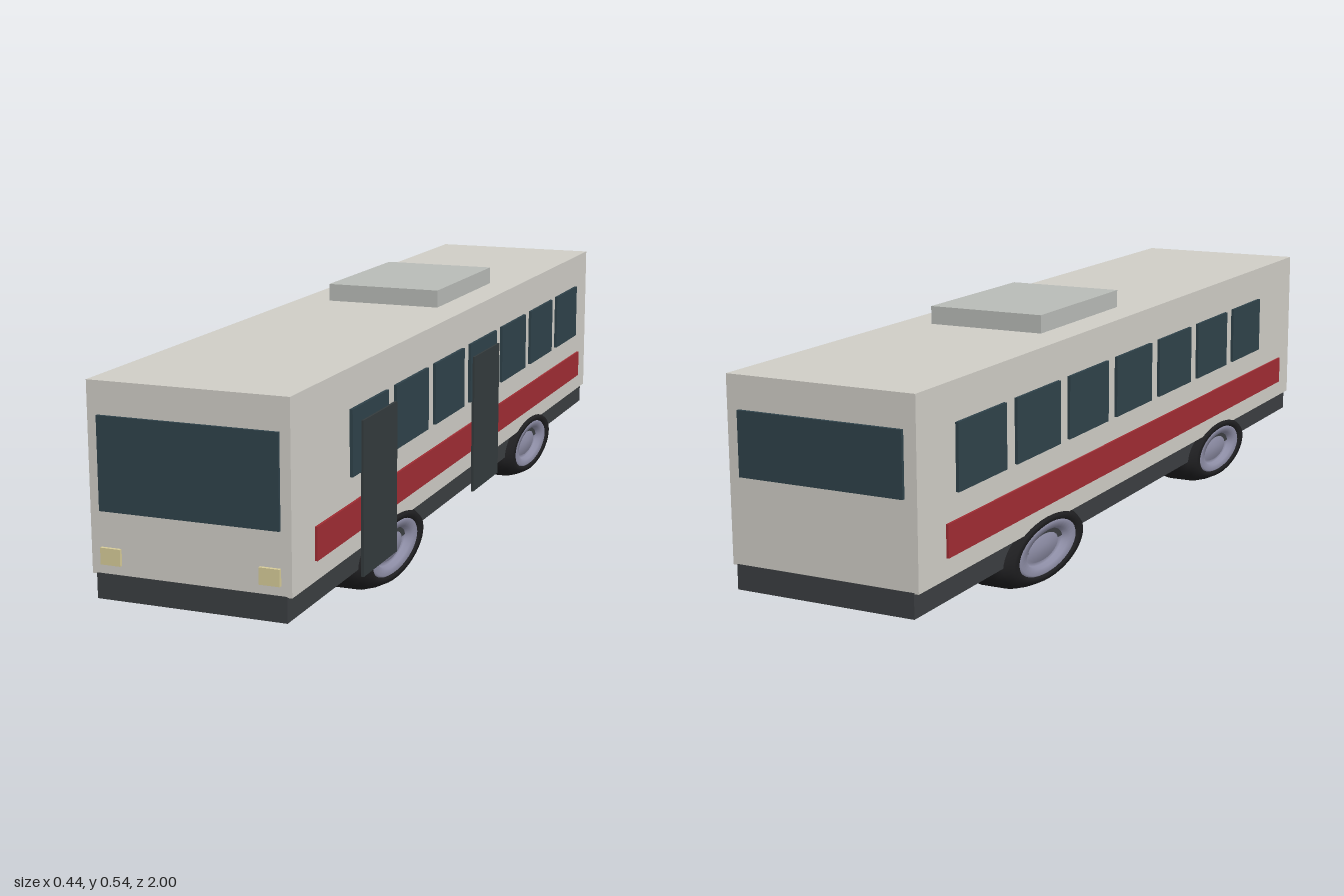
import * as THREE from 'three';

const CX = -0.0035; // centre line of the body, as the doors stand out on one side

const mat = (color, extra = {}) => new THREE.MeshStandardMaterial({ color, ...extra });
const paint = mat(0xcfcdc6), glass = mat(0x2f424a), dark = mat(0x3b3e41), red = mat(0xa02c33);
const doorGrey = mat(0x343b3d), vent = mat(0xb8bbb7), lamp = mat(0xd6cb98);
const rubber = mat(0x1e1e20, { side: THREE.DoubleSide });
const steel = mat(0x8c8ca4, { side: THREE.DoubleSide });

// Box given by its limits on each axis
function box(name, material, [x0, x1], [y0, y1], [z0, z1]) {
  const mesh = new THREE.Mesh(new THREE.BoxGeometry(x1 - x0, y1 - y0, z1 - z0), material);
  mesh.position.set((x0 + x1) / 2, (y0 + y1) / 2, (z0 + z1) / 2);
  mesh.name = name;
  return mesh;
}

// Unit-radius lathe around x; points are [radius, distance outwards]
function ring(name, material, points) {
  const geo = new THREE.LatheGeometry(points.map(([r, h]) => new THREE.Vector2(r, h)), 40);
  geo.rotateZ(-Math.PI / 2);
  const mesh = new THREE.Mesh(geo, material);
  mesh.name = name;
  return mesh;
}

// Wheel, oval in side view, with its outer face towards the given side
function wheel(name, side, z) {
  const group = new THREE.Group();
  group.name = name;
  group.add(
    ring('tyre', rubber, [
      [0, -0.056], [0.68, -0.056], [0.72, -0.0615], [0.84, -0.0615], [0.94, -0.045], [1, -0.027],
      [1, 0.027], [0.94, 0.045], [0.84, 0.0615], [0.72, 0.0615], [0.68, 0.054],
    ]),
    ring('rim', steel, [
      [0.7, 0.056], [0.66, 0.06], [0.5, 0.057], [0.46, 0.045], [0.4, 0.04],
      [0.36, 0.046], [0.1, 0.05], [0, 0.05],
    ]),
  );
  group.scale.set(1, 0.076, 0.188);
  if (side < 0) group.rotation.y = Math.PI;
  group.position.set(CX + side * 0.151, 0.076, z);
  return group;
}

export function createModel() {
  const bus = new THREE.Group();
  bus.name = 'bus';

  // Shell, skirt and roof unit
  bus.add(
    box('body', paint, [CX - 0.2065, CX + 0.2065], [0.128, 0.502], [-0.993, 0.993]),
    box('skirt', dark, [CX - 0.197, CX + 0.197], [0.079, 0.13], [-0.994, 0.994]),
    box('roofUnit', vent, [-0.136, 0.13], [0.502, 0.541], [-0.36, 0.022]),
  );

  // Front and rear glass, headlights
  bus.add(
    box('windscreen', glass, [CX - 0.185, CX + 0.185], [0.253, 0.437], [0.99, 0.999]),
    box('rearWindow', glass, [CX - 0.18, CX + 0.18], [0.305, 0.435], [-1, -0.99]),
  );
  for (const s of [-1, 1]) {
    const x = CX + s * 0.164;
    bus.add(box('headlight', lamp, [x - 0.021, x + 0.021], [0.149, 0.182], [0.99, 1]));
  }

  // Side windows, stripes and wheels on both sides
  for (const s of [-1, 1]) {
    const span = (a, b) => (s > 0 ? [CX + a, CX + b] : [CX - b, CX - a]);
    for (let i = 0; i < 7; i++) {
      const z = 0.636 - i * 0.2337;
      bus.add(box('sideWindow', glass, span(0.2115, 0.218), [0.29, 0.424], [z - 0.095, z + 0.095]));
    }
    bus.add(box('sideStripe', red, span(0.2115, 0.2165), [0.172, 0.238], [-0.9, 0.9]));
    bus.add(wheel('frontWheel', s, 0.48), wheel('rearWheel', s, -0.477));
  }

  // Doors on the left side
  for (const z of [0.597, -0.074]) {
    bus.add(box('door', doorGrey, [0.213, 0.219], [0.077, 0.393], [z - 0.091, z + 0.091]));
  }
  return bus;
}
